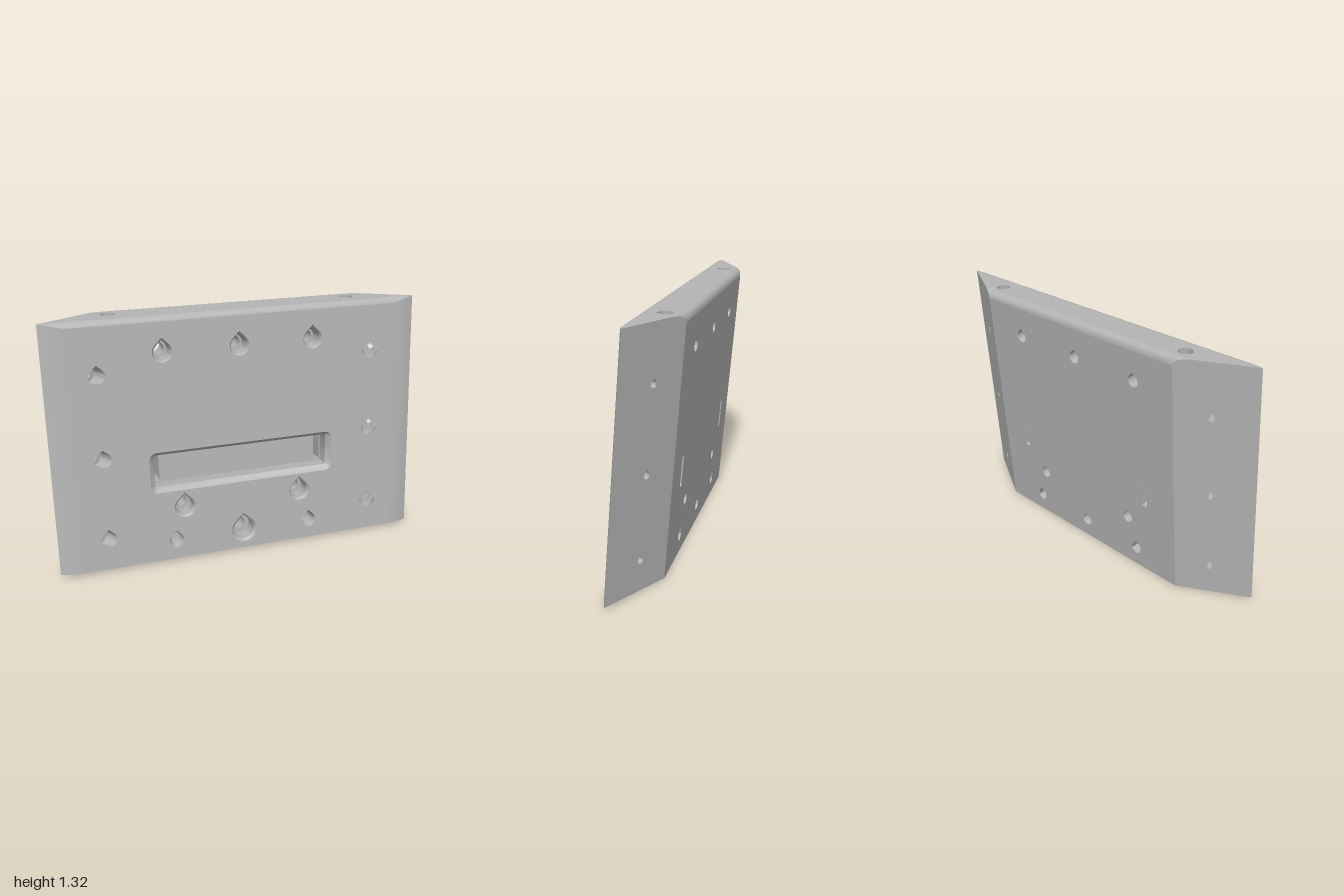
import * as THREE from 'three';
import { toCreasedNormals } from 'three/addons/utils/BufferGeometryUtils.js';

const T = 0.215; // slab thickness; depth d runs from the front (0) to the back (T)
const gray = new THREE.MeshStandardMaterial({ color: 0xb4b4b4, side: THREE.DoubleSide });
gray.name = 'plain gray';

// Outline levels: depth, half width, top height
const halfWidth = d => 1 - 0.35 * (d - 0.027) / 0.188;
const levels = [[0, 0.88, 1.285], [0.003, 0.92, 1.297], [0.011, 0.96, 1.306], [0.027, 1, 1.3134]];
for (const [d, u] of [[0.175, 1.3263], [0.192, 1.3245], [0.205, 1.317], [0.212, 1.306], [T, 1.29]])
  levels.push([d, halfWidth(d), u]);
const topAt = d => 1.311 + 0.0875 * d;

// 2D loops
function teardrop(cx, cy, r, n = 24) {
  const pts = [];
  for (let i = 0; i <= n; i++) {
    const a = Math.PI * (0.75 + 1.5 * i / n);
    pts.push([cx + r * Math.cos(a), cy + r * Math.sin(a)]);
  }
  pts.push([cx, cy + r * Math.SQRT2]);
  return pts;
}
function circle(cx, cy, r, n = 32) {
  return Array.from({ length: n }, (_, i) => {
    const a = 2 * Math.PI * i / n;
    return [cx + r * Math.cos(a), cy + r * Math.sin(a)];
  });
}
function roundRect(cx, cy, w, h, r, n = 6) {
  const pts = [];
  [[1, 1], [-1, 1], [-1, -1], [1, -1]].forEach(([sx, sy], q) => {
    for (let i = 0; i <= n; i++) {
      const a = Math.PI / 2 * (q + i / n);
      pts.push([cx + sx * (w / 2 - r) + r * Math.cos(a), cy + sy * (h / 2 - r) + r * Math.sin(a)]);
    }
  });
  return pts;
}
const atDepth = (loop, d) => loop.map(([x, u]) => [x, u, -d]);

// Flat face with holes, drawn in 2D and placed by a mapping rule
function face(outline, holes, map) {
  const v = loop => loop.map(p => new THREE.Vector2(p[0], p[1]));
  const shape = new THREE.Shape(v(outline));
  shape.holes = holes.map(h => new THREE.Path(v(h)));
  const g = new THREE.ShapeGeometry(shape).toNonIndexed();
  const pos = g.attributes.position;
  for (let i = 0; i < pos.count; i++) pos.setXYZ(i, ...map(pos.getX(i), pos.getY(i)));
  g.computeVertexNormals();
  return g;
}

// Skin through equal-length 3D loops
function loft(loops, closed = true) {
  const n = loops[0].length, idx = [];
  for (let k = 0; k < loops.length - 1; k++)
    for (let i = 0; i < (closed ? n : n - 1); i++) {
      const a = k * n + i, b = k * n + (i + 1) % n;
      idx.push(a, b, b + n, a, b + n, a + n);
    }
  const g = new THREE.BufferGeometry();
  g.setAttribute('position', new THREE.Float32BufferAttribute(loops.flat(2), 3));
  g.setIndex(idx);
  return toCreasedNormals(g, 0.6);
}

export function createModel() {
  const root = new THREE.Group();
  root.name = 'mountingPlate';
  const tilted = new THREE.Group();
  tilted.name = 'tiltedSlab';
  tilted.rotation.x = -THREE.MathUtils.degToRad(5);
  tilted.position.set(0, 0.019, 0.164);
  root.add(tilted);
  const add = (name, g) => {
    const m = new THREE.Mesh(g, gray);
    m.name = name;
    tilted.add(m);
  };
  const frontHoles = [], backHoles = [], endHoles = [], slopeHoles = [];

  // Counterbored teardrop holes through the slab: x, height, bore, hole, nut pocket
  for (const [x, u, R, r, nut] of [
    [-0.405, 1.13, 0.053, 0.032], [0, 1.13, 0.053, 0.032], [0.405, 1.13, 0.053, 0.032],
    [-0.325, 0.288, 0.058, 0.031], [0.325, 0.288, 0.058, 0.031], [0, 0.106, 0.07, 0.033],
    [-0.38, 0.105, 0.04, 0.019, true], [0.38, 0.105, 0.04, 0.019, true]]) {
    const outer = teardrop(x, u, R), bore = teardrop(x, u, R * 0.82), hole = teardrop(x, u, r);
    frontHoles.push(outer);
    add('screwHole', loft([atDepth(outer, 0), atDepth(bore, 0.014), atDepth(bore, 0.1),
      atDepth(hole, 0.1), atDepth(hole, nut ? 0.17 : T)]));
    if (nut) {
      const pocket = teardrop(x, u, 0.036, 4);
      backHoles.push(pocket);
      add('nutPocket', loft([atDepth(pocket, T), atDepth(pocket, 0.17), atDepth(teardrop(x, u, r, 4), 0.17)]));
    } else backHoles.push(hole);
  }

  // Slanted screw holes, square to the sloping sides
  const ax = 0.4735, ad = 0.8815, cd = 0.13, cx = halfWidth(cd);
  const slanted = (loop, t) => loop.map(([p, u]) => {
    const k = t ?? (ax * p - cd) / ad; // without t the loop ends on the front face
    return [cx + ad * p + ax * k, u, -(cd - ax * p + ad * k)];
  });
  for (const u of [1.038, 0.603, 0.168]) {
    const bore = teardrop(0, u, 0.039), hole = teardrop(0, u, 0.018);
    const loops = [slanted(bore), slanted(bore, -0.07), slanted(hole, -0.07), slanted(hole, 0)];
    slopeHoles.push(loops[3].map(p => [-p[2], p[1]]));
    for (const s of [1, -1]) {
      frontHoles.push(loops[0].map(p => [s * p[0], p[1]]));
      add('slantedScrewHole', loft(loops.map(l => l.map(p => [s * p[0], p[1], p[2]]))));
    }
  }

  // Long front pocket with a bevelled rim and two strap slits to the back
  const rim = roundRect(0.007, 0.497, 1.02, 0.222, 0.04);
  const well = roundRect(0.007, 0.5, 0.962, 0.175, 0.006);
  const slits = [-1, 1].map(s => roundRect(0.007 + s * 0.459, 0.5, 0.033, 0.165, 0.008, 1));
  frontHoles.push(rim);
  backHoles.push(...slits);
  add('pocketWall', loft([atDepth(rim, 0), atDepth(well, 0.025), atDepth(well, 0.1)]));
  add('pocketFloor', face(well, slits, (x, u) => [x, u, -0.1]));
  for (const s of slits) add('strapSlit', loft([atDepth(s, 0.1), atDepth(s, T)]));

  // Upright rod holes from bottom to top
  for (const x of [-0.645, 0.645]) {
    const c = circle(x, 0.115, 0.036);
    endHoles.push(c);
    add('rodHole', loft([c.map(([a, d]) => [a, 0, -d]), c.map(([a, d]) => [a, topAt(d), -d])]));
  }

  // Stepped slot in the underside
  const lip = roundRect(0, 0.1, 1.14, 0.1, 0.004, 1), slot = roundRect(0, 0.1, 1.1, 0.07, 0.004, 1);
  const atHeight = (loop, u) => loop.map(([x, d]) => [x, u, -d]);
  add('bottomSlotWall', loft([atHeight(lip, 0), atHeight(lip, 0.01), atHeight(slot, 0.01), atHeight(slot, 0.028)]));
  add('bottomSlotFloor', face(slot, [], (x, d) => [x, 0.028, -d]));

  // Front and back faces
  const panel = ([d, w, u], holes) =>
    face([[-w, 0], [w, 0], [w, u], [-w, u]], holes, (x, y) => [x, y, -d]);
  add('frontFace', panel(levels[0], frontHoles));
  add('backFace', panel(levels[8], backHoles));

  // Top face with rounded front and back edges
  const across = ([d, w, u]) => [[-w, u, -d], [w, u, -d]];
  const [, , , a, b] = levels;
  add('topFace', face([[-a[1], a[0]], [a[1], a[0]], [b[1], b[0]], [-b[1], b[0]]], endHoles,
    (x, d) => [x, topAt(d), -d]));
  add('topFrontRound', loft(levels.slice(0, 4).map(across), false));
  add('topBackRound', loft(levels.slice(4).map(across), false));

  // Underside
  const half = levels.map(([d, w]) => [w, d]);
  add('bottomFace', face([...half, ...half.map(([w, d]) => [-w, d]).reverse()], [...endHoles, lip],
    (x, d) => [x, 0, -d]));

  // Curved front edges and sloping sides
  for (const s of [1, -1]) {
    add('sideFrontRound', loft(levels.slice(0, 4).map(([d, w, u]) => [[s * w, 0, -d], [s * w, u, -d]]), false));
    add('sideSlope', face([[a[0], 0], [T, 0], ...levels.slice(3).reverse().map(([d, , u]) => [d, u])],
      slopeHoles, (d, u) => [s * halfWidth(d), u, -d]));
  }
  return root;
}
